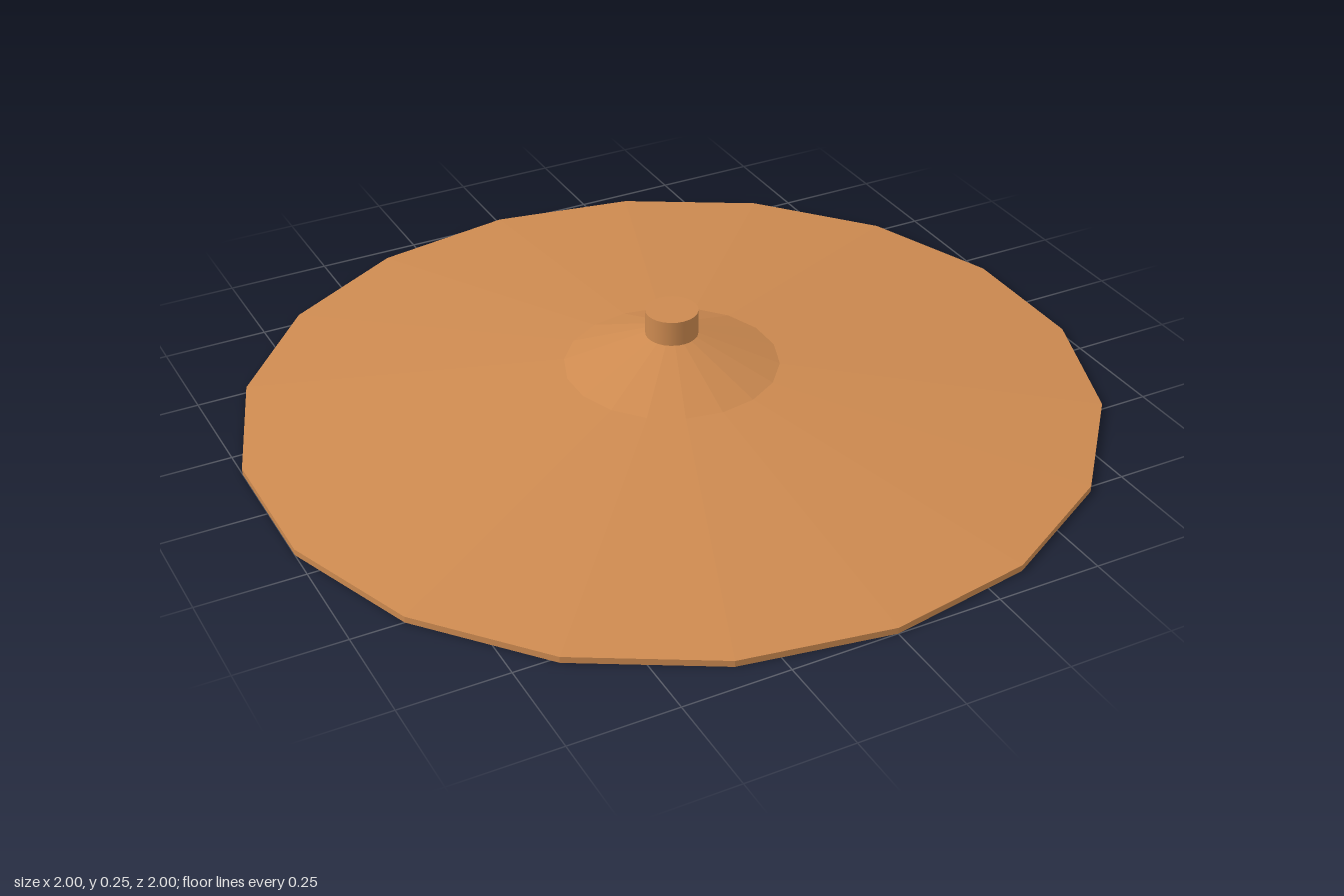
import * as THREE from 'three';

export function createModel() {
  const model = new THREE.Group();
  const material = new THREE.MeshStandardMaterial({ color: 0xcd8a50 });
  const faceted = material.clone();
  faceted.flatShading = true;

  // Thin conical shell: flat ceiling, sloped underside, rim, roof, steep crown
  const profile = [
    [0, 0.095], [0.25, 0.095], [1, 0], [1, 0.015], [0.25, 0.11], [0.06, 0.19], [0, 0.19],
  ].map(([r, y]) => new THREE.Vector2(r, y));
  const shell = new THREE.Mesh(new THREE.LatheGeometry(profile, 18), faceted);
  shell.name = 'canopy';
  shell.scale.x = 1 / Math.cos(Math.PI / 18); // flats reach the full width
  model.add(shell);

  // Short round stubs above and below the centre
  const addStub = (name, bottom, top) => {
    const stub = new THREE.Mesh(new THREE.CylinderGeometry(0.062, 0.062, top - bottom, 24), material);
    stub.name = name;
    stub.position.y = (bottom + top) / 2;
    model.add(stub);
  };
  addStub('topKnob', 0.185, 0.25);
  addStub('poleSocket', 0.03, 0.1);

  return model;
}
